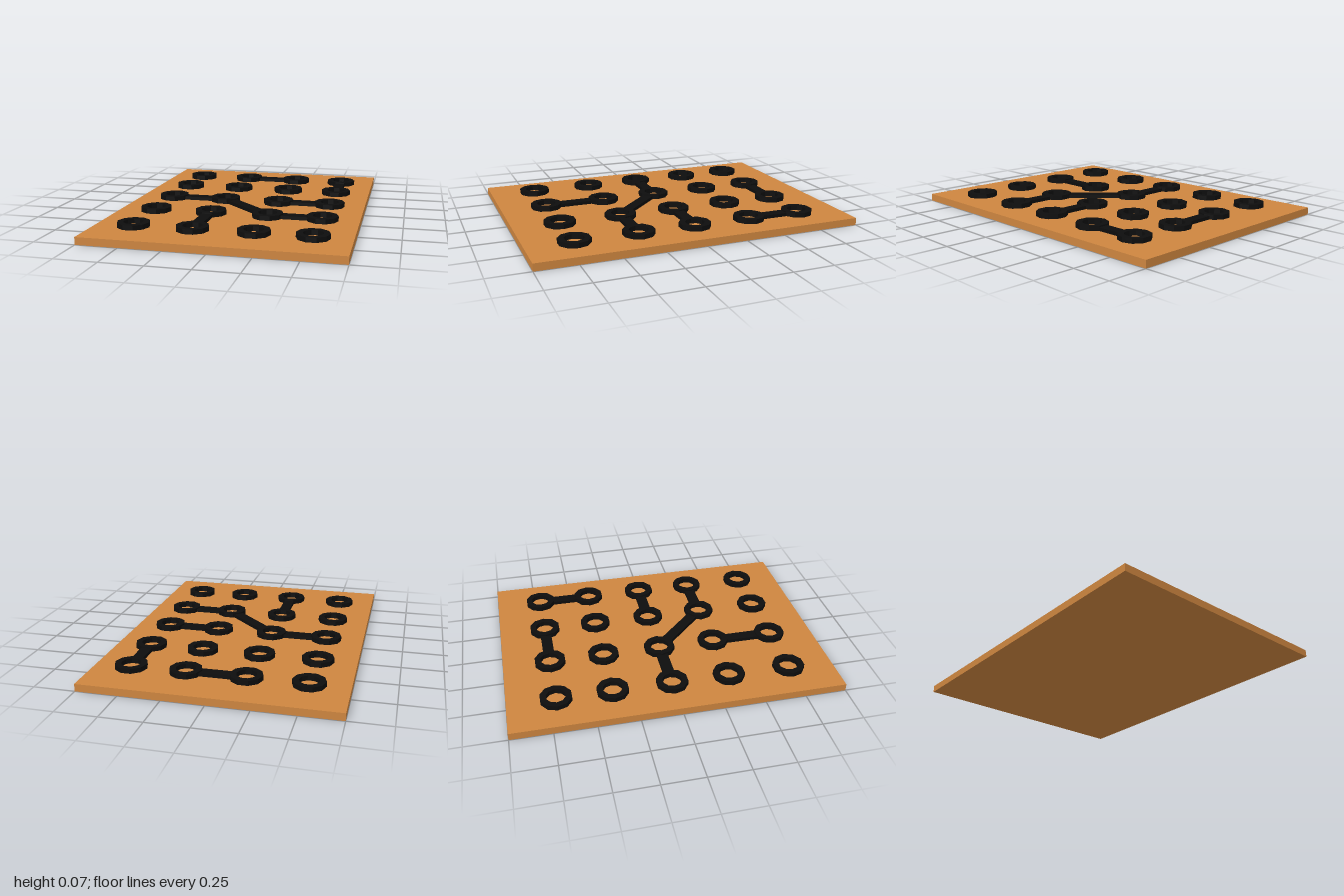
import * as THREE from 'three';

const BOARD_TOP = 0.045, RING_TOP = 0.074, TRACE_TOP = 0.066;
const COLS = [-0.517, -0.161, 0.195, 0.528];
const ROWS = [-0.71, -0.375, -0.016, 0.337, 0.718];

// Joined pads as [column, row, column, row]
const LINKS = [
  [1, 0, 2, 0], [3, 0, 3, 1], [0, 2, 1, 2], [2, 2, 3, 2],
  [1, 2, 2, 3], [2, 3, 3, 3], [1, 3, 1, 4],
];

function polygon(target, radius, sides) {
  const points = [];
  for (let i = 0; i < sides; i++) {
    const a = (i / sides) * Math.PI * 2;
    points.push(new THREE.Vector2(Math.cos(a) * radius, Math.sin(a) * radius));
  }
  return target.setFromPoints(points);
}

export function createModel() {
  const model = new THREE.Group();
  const copper = new THREE.MeshStandardMaterial({ color: 0xcd853f, flatShading: true });
  const black = new THREE.MeshStandardMaterial({ color: 0x0d0d0d, flatShading: true });

  // Base board
  const board = new THREE.Mesh(new THREE.BoxGeometry(1.5, BOARD_TOP, 2), copper);
  board.name = 'board';
  board.position.y = BOARD_TOP / 2;
  model.add(board);

  // Ten-sided ring pads
  const ring = polygon(new THREE.Shape(), 0.097, 10);
  ring.holes.push(polygon(new THREE.Path(), 0.059, 10));
  const ringGeometry = new THREE.ExtrudeGeometry(ring, { depth: RING_TOP - BOARD_TOP, bevelEnabled: false });
  ringGeometry.rotateX(-Math.PI / 2);
  const pads = new THREE.Group();
  pads.name = 'ringPads';
  for (const z of ROWS) {
    for (const x of COLS) {
      const pad = new THREE.Mesh(ringGeometry, black);
      pad.name = 'ringPad';
      pad.position.set(x, BOARD_TOP, z);
      pads.add(pad);
    }
  }
  model.add(pads);

  // Flat traces, ending inside the ring walls
  const traces = new THREE.Group();
  traces.name = 'traces';
  const height = TRACE_TOP - BOARD_TOP;
  for (const [c1, r1, c2, r2] of LINKS) {
    const dx = COLS[c2] - COLS[c1], dz = ROWS[r2] - ROWS[r1];
    const trace = new THREE.Mesh(new THREE.BoxGeometry(Math.hypot(dx, dz) - 0.15, height, 0.068), black);
    trace.name = 'trace';
    trace.position.set(COLS[c1] + dx / 2, BOARD_TOP + height / 2, ROWS[r1] + dz / 2);
    trace.rotation.y = -Math.atan2(dz, dx);
    traces.add(trace);
  }
  model.add(traces);

  return model;
}
